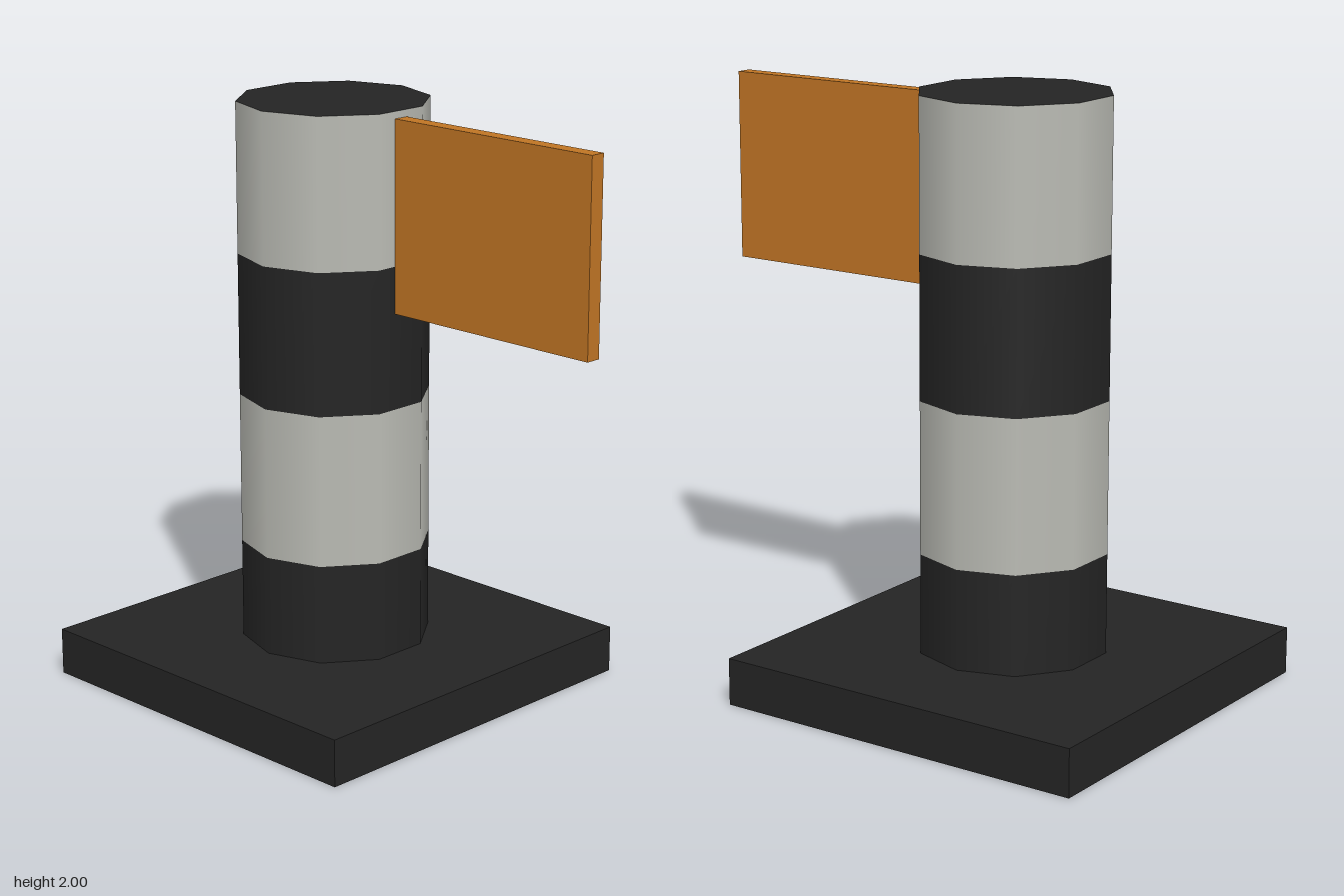
import * as THREE from 'three';

const paint = (name, color) => {
  const m = new THREE.MeshStandardMaterial({ color });
  m.name = name;
  return m;
};

export function createModel() {
  const black = paint('black', 0x242424);
  const grey = paint('light grey', 0xb9bab3);
  const orange = paint('orange', 0xbf7424);
  const group = new THREE.Group();
  const POST_X = -0.227, RADIUS = 0.32, SIDES = 10;

  const add = (name, geometry, material, x, y) => {
    const mesh = new THREE.Mesh(geometry, material);
    mesh.name = name;
    mesh.position.set(x, y, 0);
    group.add(mesh);
  };

  // Square foot
  add('base', new THREE.BoxGeometry(1.332, 0.16, 1.332), black, POST_X, 0.08);

  // Ten-sided post in alternating open bands with smooth sides
  const levels = [0.16, 0.5, 1.015, 1.495, 2];
  for (let i = 0; i < 4; i++) {
    const h = levels[i + 1] - levels[i];
    add(`postBand${i + 1}`, new THREE.CylinderGeometry(RADIUS, RADIUS, h, SIDES, 1, true),
      i % 2 ? grey : black, POST_X, levels[i] + h / 2);
  }

  // Dark lid closing the post, its corners matching the bands
  const lid = new THREE.CircleGeometry(RADIUS, SIDES, Math.PI / 2).rotateX(-Math.PI / 2);
  add('postTop', lid, black, POST_X, 2);

  // Flat sign panel against the side of the post
  add('signPanel', new THREE.BoxGeometry(0.813, 0.638, 0.053), orange, 0.4835, 1.657);

  return group;
}
